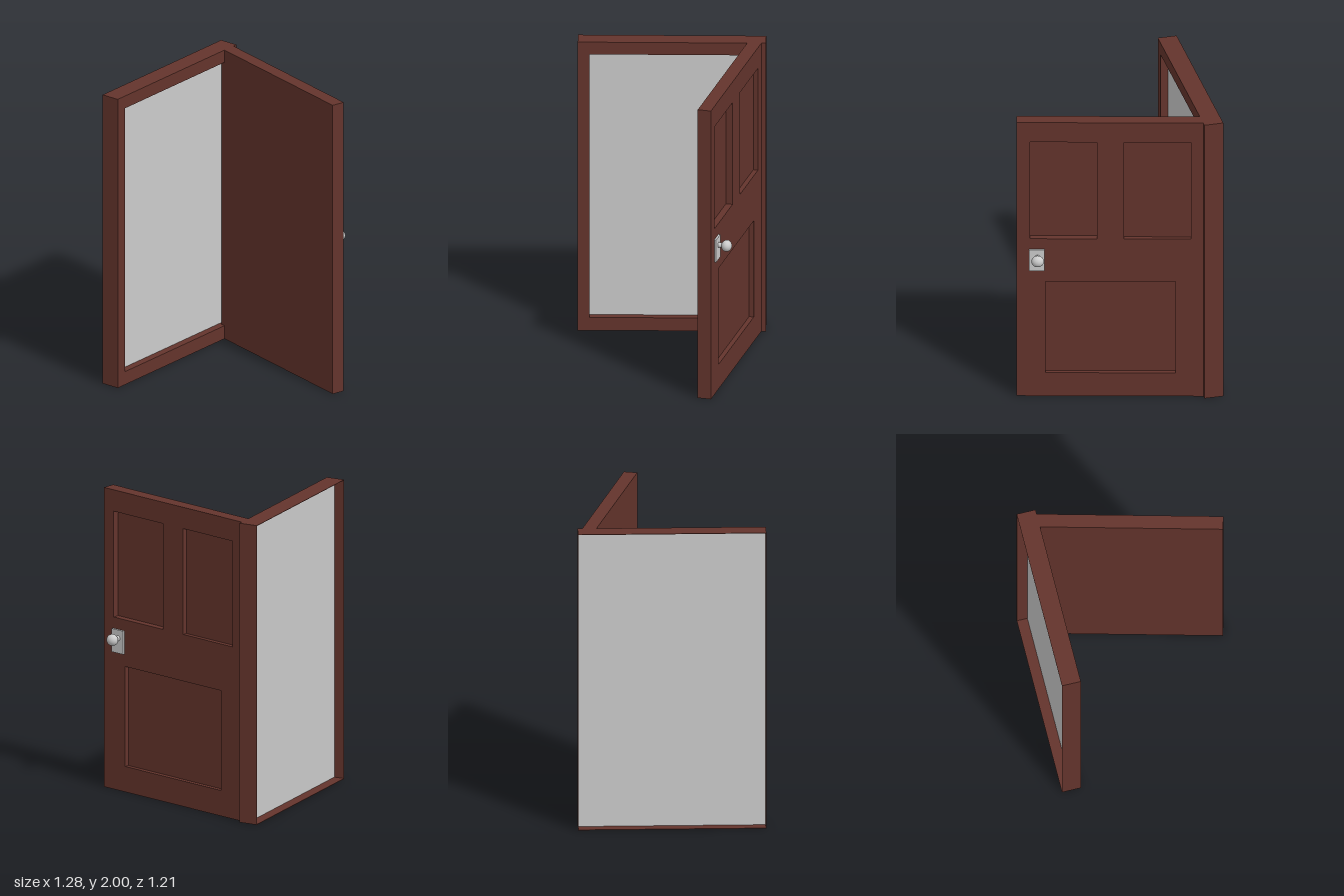
import * as THREE from 'three';

const wood = new THREE.MeshStandardMaterial({ color: 0x64342c, side: THREE.DoubleSide });
const grey = new THREE.MeshStandardMaterial({ color: 0xcccccc, side: THREE.DoubleSide });

function add(parent, name, geometry, material, x = 0, y = 0, z = 0) {
  const mesh = new THREE.Mesh(geometry, material);
  mesh.name = name;
  mesh.position.set(x, y, z);
  parent.add(mesh);
  return mesh;
}

// Box given by its min and max corners
function block(parent, name, material, [x0, y0, z0], [x1, y1, z1]) {
  return add(parent, name, new THREE.BoxGeometry(x1 - x0, y1 - y0, z1 - z0), material,
    (x0 + x1) / 2, (y0 + y1) / 2, (z0 + z1) / 2);
}

function rect(Type, x0, y0, x1, y1) {
  return new Type([[x0, y0], [x1, y0], [x1, y1], [x0, y1]].map(p => new THREE.Vector2(...p)));
}

// Flat board with rectangular openings
function board(outline, openings, depth) {
  const shape = rect(THREE.Shape, ...outline);
  shape.holes = openings.map(o => rect(THREE.Path, ...o));
  return new THREE.ExtrudeGeometry(shape, { depth, bevelEnabled: false });
}

function createFrame() {
  const frame = new THREE.Group();
  frame.name = 'doorFrame';
  const inner = -0.52, back = -0.57, outer = -0.645, w = 0.605, skin = 0.003;

  // Border on the inner side
  const border = board([-w, 0, w, 2], [[-0.53, 0.09, 0.53, 1.915]], inner - back);
  border.rotateY(-Math.PI / 2);
  add(frame, 'frameBorder', border, wood, inner);

  // Thin walls around the open outer side
  block(frame, 'frameBottomWall', wood, [outer, 0, -w], [back, skin, w]);
  block(frame, 'frameTopWall', wood, [outer, 2 - skin, -w], [back, 2, w]);
  block(frame, 'frameFrontWall', wood, [outer, 0, w - skin], [back, 2, w]);
  block(frame, 'frameBackWall', wood, [outer, 0, -w], [back, 2, -w + skin]);

  // Grey sheet filling the opening
  block(frame, 'framePane', grey, [back - 0.005, skin, -w + skin], [back, 2 - skin, w - skin]);
  return frame;
}

function createDoor() {
  // Local x = 0 is the free edge, z = 0 the panelled face
  const door = new THREE.Group();
  door.name = 'door';
  const length = 1.21, thick = 0.088, recess = 0.044;
  const panels = [
    [-0.515, 1.15, -0.085, 1.857],
    [-1.12, 1.15, -0.69, 1.857],
    [-1.02, 0.17, -0.185, 0.838],
  ];
  add(door, 'doorPanelledFace', board([-length, 0, 0, 2], panels, recess), wood);
  block(door, 'doorSlab', wood, [-length, 0, recess], [0, 2, thick]);

  // Two of the panels are shallower
  for (const [x0, y0, x1, y1] of panels.slice(1)) {
    block(door, 'doorPanel', wood, [x0, y0, 0.031], [x1, y1, recess]);
  }

  // Knob with its plate and neck
  const handle = new THREE.Group();
  handle.name = 'doorHandle';
  block(handle, 'handlePlate', grey, [-0.18, 0.92, -0.013], [-0.08, 1.075, 0]);
  const neck = new THREE.CylinderGeometry(0.018, 0.014, 0.04, 20).rotateX(Math.PI / 2);
  add(handle, 'handleNeck', neck, grey, -0.135, 1.02, -0.03);
  const knob = new THREE.SphereGeometry(1, 28, 18).rotateX(Math.PI / 2).scale(0.04, 0.038, 0.034);
  add(handle, 'handleKnob', knob, grey, -0.135, 1.02, -0.067);
  door.add(handle);

  // Swung open
  door.position.set(0.64, 0, -0.27);
  door.rotation.y = -0.257;
  return door;
}

export function createModel() {
  const model = new THREE.Group();
  model.name = 'openDoor';
  model.add(createFrame(), createDoor());
  return model;
}
